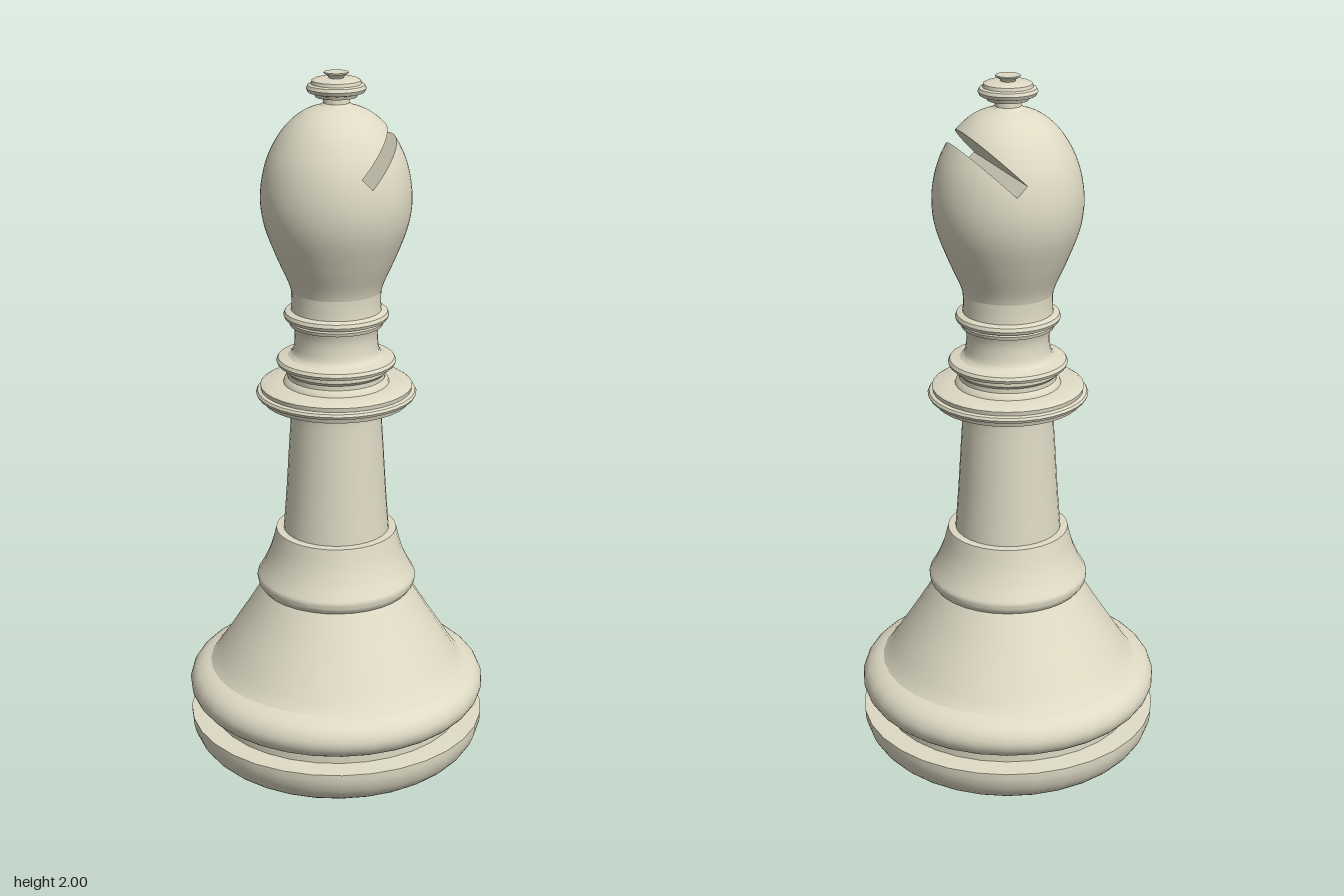
import * as THREE from 'three';
import { toCreasedNormals } from 'three/addons/utils/BufferGeometryUtils.js';

const material = new THREE.MeshStandardMaterial({ color: 0xdedac4 });
const slotMaterial = new THREE.MeshStandardMaterial({ color: 0xdedac4, side: THREE.DoubleSide });

const toPoints = (pairs) => pairs.map(([r, y]) => new THREE.Vector2(r, y));
const smooth = (pairs, n) => new THREE.SplineCurve(toPoints(pairs)).getPoints(n);

// A lathe-turned part; the profile runs from bottom to top
function turned(name, profile, segments = 32) {
  const geometry = toCreasedNormals(new THREE.LatheGeometry(profile, segments), 0.7);
  const mesh = new THREE.Mesh(geometry, material);
  mesh.name = name;
  return mesh;
}

// Head profile and the diagonal slot: u runs along the cut, v across it
const headProfile = smooth([[0.125, 1.4], [0.135, 1.43], [0.166, 1.5], [0.196, 1.58], [0.207, 1.65],
  [0.201, 1.72], [0.181, 1.785], [0.143, 1.848], [0.092, 1.893], [0.034, 1.915]], 44);
const S = Math.SQRT1_2;
const slot = { start: 1.772 * S, centre: 1.696 * S, half: 0.0205 };
const uOf = (p) => (p.x + p.y) * S;
const vOf = (p) => (p.y - p.x) * S - slot.centre;
const fromUV = (u, v) => [(u - v - slot.centre) * S, (u + v + slot.centre) * S];

function headRadius(y) {
  for (let i = 1; i < headProfile.length; i++) {
    const a = headProfile[i - 1], b = headProfile[i];
    if (y >= a.y && y <= b.y) return a.x + (b.x - a.x) * (y - a.y) / (b.y - a.y);
  }
  return 0;
}

// Keeps the part of a polygon where dist(point) >= 0
function clip(polygon, dist) {
  const out = [];
  polygon.forEach((a, i) => {
    const b = polygon[(i + 1) % polygon.length];
    const da = dist(a.p), db = dist(b.p);
    if (da >= 0) out.push(a);
    if ((da >= 0) !== (db >= 0)) {
      const t = da / (da - db);
      out.push({ p: a.p.clone().lerp(b.p, t), n: a.n.clone().lerp(b.n, t).normalize() });
    }
  });
  return out;
}

// Head shell with the slot removed
function slottedHead() {
  const source = new THREE.LatheGeometry(headProfile, 64).toNonIndexed();
  const { position, normal } = source.attributes;
  const inside = (p) => uOf(p) - slot.start;
  const regions = [
    [(p) => -inside(p)],
    [inside, (p) => vOf(p) - slot.half],
    [inside, (p) => -vOf(p) - slot.half],
  ];
  const positions = [], normals = [];
  for (let i = 0; i < position.count; i += 3) {
    const triangle = [0, 1, 2].map((k) => ({
      p: new THREE.Vector3().fromBufferAttribute(position, i + k),
      n: new THREE.Vector3().fromBufferAttribute(normal, i + k),
    }));
    for (const region of regions) {
      const polygon = region.reduce(clip, triangle);
      for (let k = 2; k < polygon.length; k++) {
        for (const c of [polygon[0], polygon[k - 1], polygon[k]]) {
          positions.push(...c.p.toArray());
          normals.push(...c.n.toArray());
        }
      }
    }
  }
  const geometry = new THREE.BufferGeometry();
  geometry.setAttribute('position', new THREE.Float32BufferAttribute(positions, 3));
  geometry.setAttribute('normal', new THREE.Float32BufferAttribute(normals, 3));
  const mesh = new THREE.Mesh(geometry, material);
  mesh.name = 'head';
  return mesh;
}

// A flat strip across the head between (u, v) ends, as wide in z as the head allows
function slotFace(name, from, to, steps) {
  const positions = [], index = [];
  for (let i = 0; i <= steps; i++) {
    const t = 1 - (1 - i / steps) ** 2;
    const [x, y] = fromUV(from[0] + (to[0] - from[0]) * t, from[1] + (to[1] - from[1]) * t);
    const z = Math.sqrt(Math.max(0, headRadius(y) ** 2 - x * x));
    positions.push(x, y, z, x, y, -z);
    if (i < steps) index.push(2 * i, 2 * i + 2, 2 * i + 1, 2 * i + 1, 2 * i + 2, 2 * i + 3);
  }
  const geometry = new THREE.BufferGeometry();
  geometry.setAttribute('position', new THREE.Float32BufferAttribute(positions, 3));
  geometry.setIndex(index);
  geometry.computeVertexNormals();
  const mesh = new THREE.Mesh(geometry, slotMaterial);
  mesh.name = name;
  return mesh;
}

// Where a slot wall runs out through the head surface
function slotEnd(v) {
  let low = slot.start, high = slot.start + 0.4;
  for (let i = 0; i < 40; i++) {
    const mid = (low + high) / 2;
    const [x, y] = fromUV(mid, v);
    if (headRadius(y) > Math.abs(x)) low = mid; else high = mid;
  }
  return low;
}

export function createModel() {
  const model = new THREE.Group();
  model.name = 'chessBishop';

  // Foot, rounded below with a flat top edge
  model.add(turned('foot', [
    ...toPoints([[0, 0]]),
    ...smooth([[0.335, 0], [0.375, 0.012], [0.41, 0.045], [0.427, 0.085], [0.43, 0.118]], 12),
    ...toPoints([[0.37, 0.122], [0.37, 0.16]]),
  ]));

  // Rounded moulding and flaring skirt
  model.add(turned('baseMoulding', smooth([[0.365, 0.152], [0.395, 0.158], [0.422, 0.182], [0.431, 0.212],
    [0.42, 0.243], [0.395, 0.264], [0.365, 0.275]], 18)));
  model.add(turned('skirt', smooth([[0.375, 0.268], [0.352, 0.295], [0.31, 0.36], [0.262, 0.435], [0.215, 0.512]], 12)));
  model.add(turned('skirtRing', [
    ...toPoints([[0.205, 0.51], [0.216, 0.512]]),
    ...smooth([[0.226, 0.525], [0.229, 0.545], [0.22, 0.562], [0.205, 0.59], [0.187, 0.635], [0.173, 0.69]], 14),
    ...toPoints([[0.145, 0.692]]),
  ]));

  // Tapered stem
  model.add(turned('stem', smooth([[0.152, 0.685], [0.143, 0.8], [0.135, 0.93], [0.128, 1.05], [0.135, 1.08]], 14)));

  // Stacked collars
  model.add(turned('wideCollar', toPoints([[0.12, 1.068], [0.19, 1.075], [0.206, 1.08], [0.21, 1.092], [0.222, 1.096],
    [0.226, 1.104], [0.222, 1.111], [0.212, 1.114], [0.214, 1.126], [0.206, 1.131], [0.14, 1.134]])));
  model.add(turned('middleCollar', toPoints([[0.15, 1.13], [0.146, 1.142], [0.137, 1.15], [0.137, 1.163], [0.146, 1.172],
    [0.146, 1.184], [0.164, 1.188], [0.168, 1.197], [0.163, 1.206], [0.135, 1.212]])));
  model.add(turned('neck', smooth([[0.137, 1.21], [0.123, 1.222], [0.117, 1.25], [0.116, 1.28], [0.122, 1.305]], 10)));
  model.add(turned('upperCollar', toPoints([[0.11, 1.298], [0.13, 1.302], [0.133, 1.312], [0.13, 1.318], [0.143, 1.321],
    [0.147, 1.33], [0.143, 1.34], [0.126, 1.345], [0.124, 1.365], [0.125, 1.4]])));

  // Head with its diagonal slot
  const { start, half } = slot;
  model.add(slottedHead());
  model.add(slotFace('slotFloor', [start, -half], [start, half], 4));
  model.add(slotFace('slotUpperWall', [start, half], [slotEnd(half), half], 28));
  model.add(slotFace('slotLowerWall', [start, -half], [slotEnd(-half), -half], 28));

  // Finial with a small flared tip
  model.add(turned('finial', toPoints([[0.05, 1.908], [0.036, 1.918], [0.035, 1.93], [0.056, 1.934], [0.06, 1.943],
    [0.076, 1.947], [0.081, 1.957], [0.077, 1.966], [0.068, 1.969], [0.066, 1.978], [0.058, 1.982],
    [0.02, 1.984], [0.022, 1.989], [0.034, 1.997], [0.033, 2], [0, 2]])));

  return model;
}
